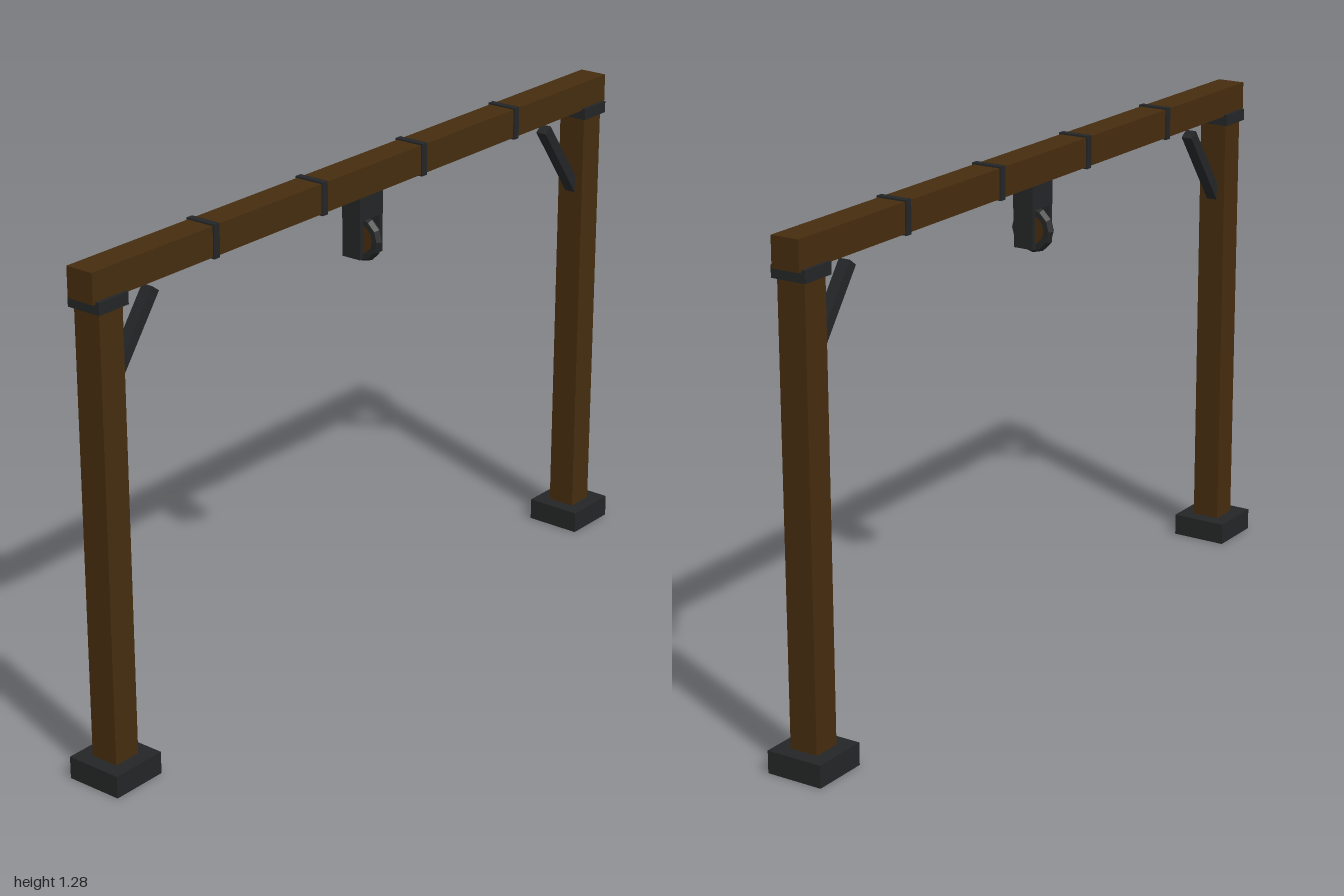
import * as THREE from 'three';

export function createModel() {
  const model = new THREE.Group();
  model.name = 'hoistFrame';
  const wood = new THREE.MeshStandardMaterial({ color: 0x452c0f });
  wood.name = 'darkWood';
  const iron = new THREE.MeshStandardMaterial({ color: 0x242526 });
  iron.name = 'blackIron';

  function add(name, geometry, material, x, y, z = 0) {
    const mesh = new THREE.Mesh(geometry, material);
    mesh.name = name;
    mesh.position.set(x, y, z);
    model.add(mesh);
    return mesh;
  }
  const box = (w, h, d) => new THREE.BoxGeometry(w, h, d);

  // Top beam
  add('beam', box(1.96, 0.075, 0.075), wood, 0, 1.2415);

  // Posts with feet, caps and diagonal braces
  for (const [side, s] of [['left', 1], ['right', -1]]) {
    add(side + 'Post', box(0.075, 1.2, 0.075), wood, s * 0.924, 0.605);
    add(side + 'Foot', box(0.15, 0.057, 0.15), iron, s * 0.924, 0.0285);
    add(side + 'Cap', box(0.094, 0.03, 0.094), iron, s * 0.924, 1.194);
    const brace = add(side + 'Brace', box(0.028, 0.255, 0.03), iron, s * 0.831, 1.071);
    brace.rotation.z = s * THREE.MathUtils.degToRad(36);
  }

  // Iron bands around the beam
  for (const x of [-0.577, -0.192, 0.192, 0.577]) {
    add('beamBand', box(0.019, 0.083, 0.083), iron, x, 1.2415);
  }

  // Pulley bracket
  add('pulleyBlock', box(0.09, 0.066, 0.056), iron, 0, 1.172);
  for (const s of [-1, 1]) {
    add('pulleyCheek', box(0.012, 0.1, 0.054), iron, s * 0.038, 1.092);
  }

  // Pulley wheel: iron rim, wooden disc and axle
  const ironFlat = iron.clone();
  ironFlat.flatShading = true;
  const rim = new THREE.TorusGeometry(0.046, 0.014, 6, 12).toNonIndexed();
  rim.computeVertexNormals();
  add('pulleyRim', rim, iron, 0, 1.083).rotation.y = Math.PI / 2;
  const disc = new THREE.CylinderGeometry(0.044, 0.044, 0.016, 12);
  add('pulleyDisc', disc, wood, 0, 1.083).rotation.z = Math.PI / 2;
  const axle = new THREE.CylinderGeometry(0.008, 0.008, 0.08, 8);
  add('pulleyAxle', axle, iron, 0, 1.083).rotation.z = Math.PI / 2;

  return model;
}
